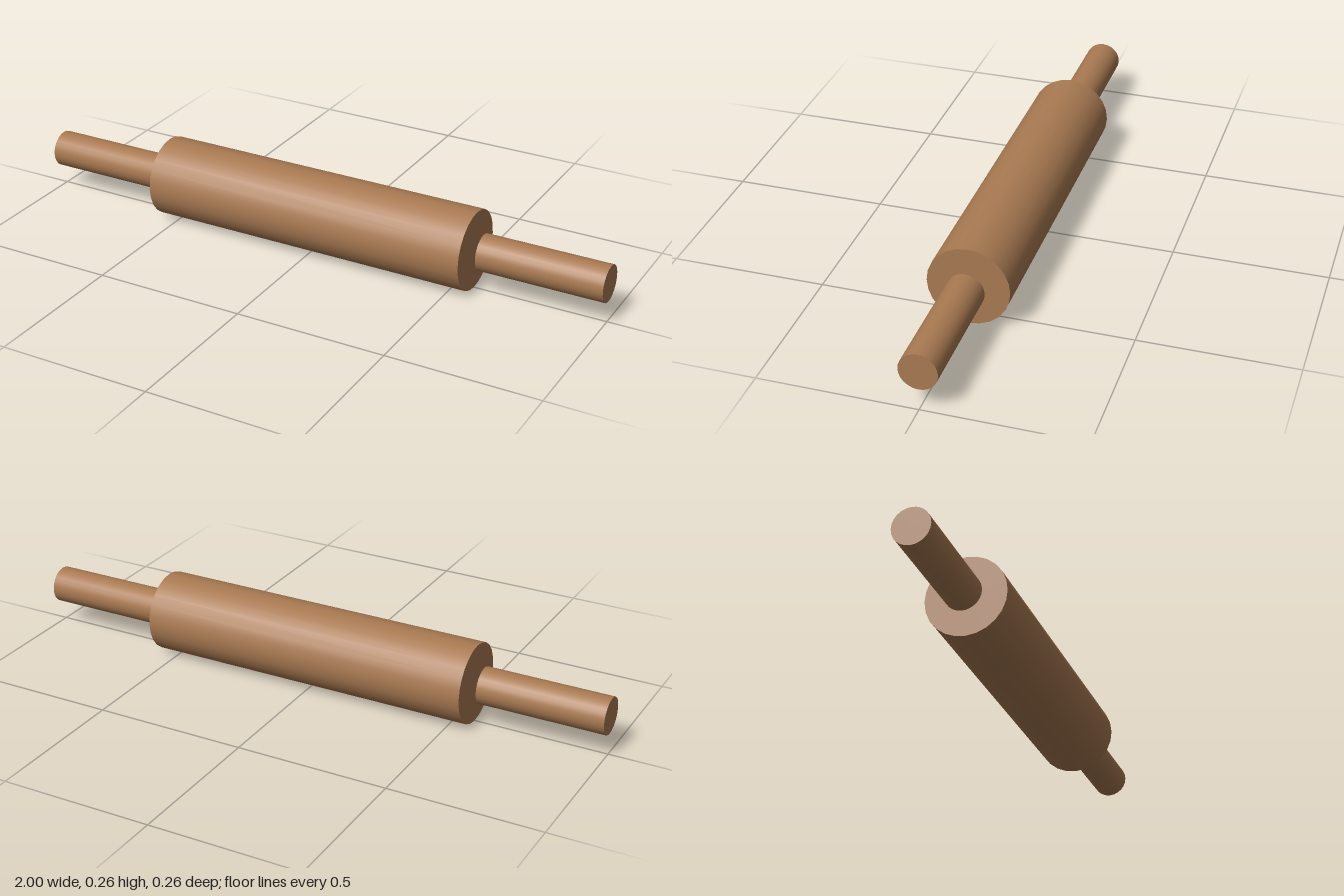
import * as THREE from 'three';

export function createModel() {
  const group = new THREE.Group();
  group.name = 'rollingPin';
  const wood = new THREE.MeshStandardMaterial({ color: 0xa97a52 });
  wood.name = 'wood';
  const axisY = 0.131;

  // A solid wooden cylinder lying along x
  function rod(name, radius, x0, x1) {
    const geometry = new THREE.CylinderGeometry(radius, radius, x1 - x0, 24);
    geometry.rotateZ(Math.PI / 2);
    // Turn the ring so that a corner sits at the very top
    const mesh = new THREE.Mesh(geometry, wood);
    mesh.name = name;
    mesh.position.set((x0 + x1) / 2, axisY, 0);
    group.add(mesh);
  }

  // Thick roller with a separate handle, set off by a small gap, at each end
  rod('roller', 0.131, -0.56, 0.56);
  rod('leftHandle', 0.06, 0.585, 1);
  rod('rightHandle', 0.06, -1, -0.585);

  return group;
}
